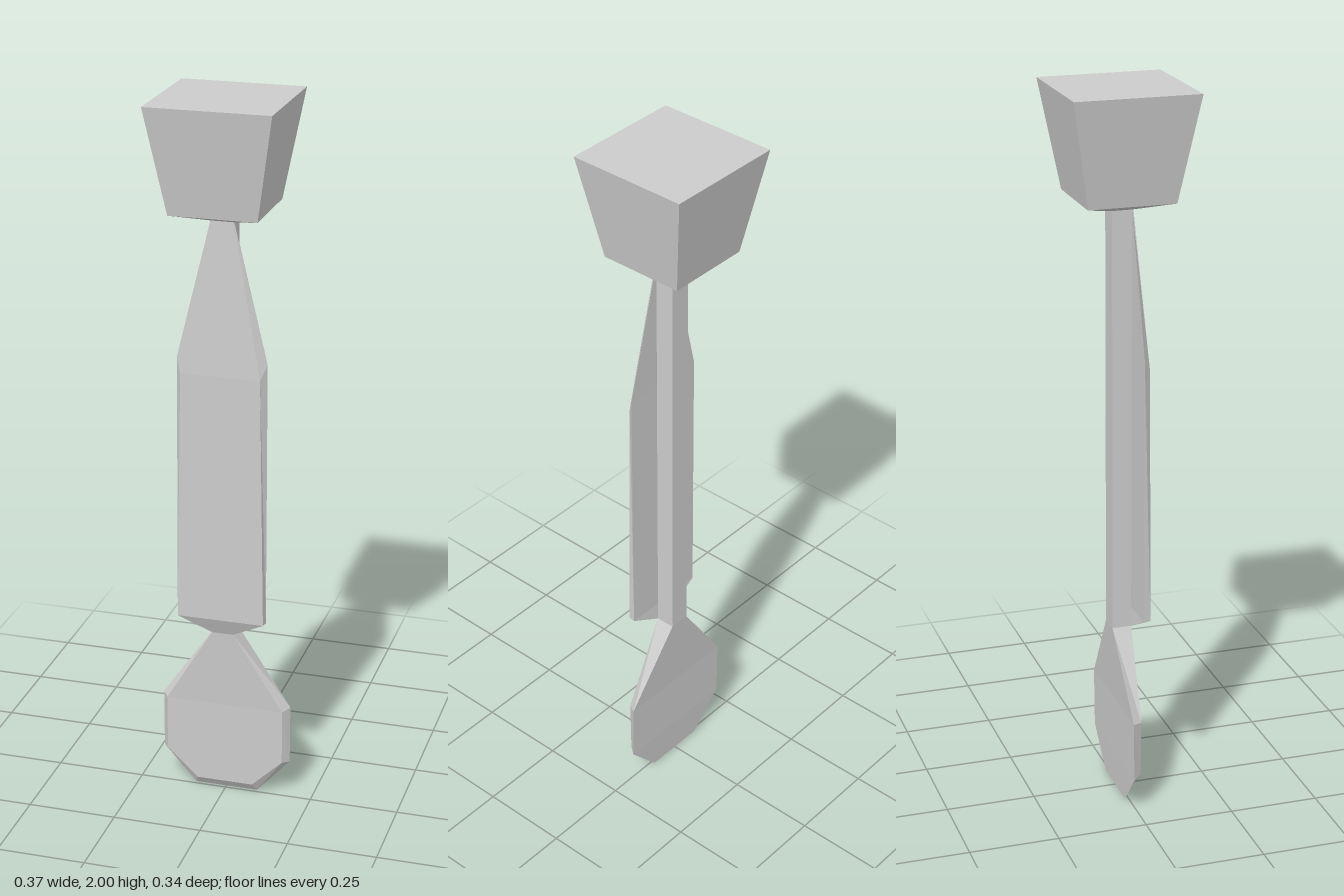
import * as THREE from 'three';

const material = new THREE.MeshStandardMaterial({ color: 0xcccccc, flatShading: true });

function addPart(group, name, geometry, y = 0) {
  const mesh = new THREE.Mesh(geometry, material);
  mesh.name = name;
  mesh.position.y = y;
  group.add(mesh);
}

// Square tapered block; half widths at top and bottom
function taper(top, bottom, height) {
  return new THREE.CylinderGeometry(top * Math.SQRT2, bottom * Math.SQRT2, height, 4, 1)
    .rotateY(Math.PI / 4);
}

// Left-right symmetric slab; rows of [half width, y, z] from top to bottom
function slab(front, back) {
  const pos = [];
  const left = ([x, y, z]) => [x, y, z];
  const right = ([x, y, z]) => [-x, y, z];
  const quad = (a, b, c, d) => pos.push(...a, ...b, ...c, ...a, ...c, ...d);
  for (let i = 0; i < front.length - 1; i++) {
    const f = front[i], g = front[i + 1], b = back[i], c = back[i + 1];
    quad(right(f), right(g), left(g), left(f));
    quad(left(b), left(c), right(c), right(b));
    quad(left(f), left(g), left(c), left(b));
    quad(right(b), right(c), right(g), right(f));
  }
  // End caps
  const n = front.length - 1;
  quad(right(front[0]), left(front[0]), left(back[0]), right(back[0]));
  quad(right(back[n]), left(back[n]), left(front[n]), right(front[n]));
  const geometry = new THREE.BufferGeometry();
  geometry.setAttribute('position', new THREE.Float32BufferAttribute(pos, 3));
  geometry.computeVertexNormals();
  return geometry;
}

export function createModel() {
  const group = new THREE.Group();
  group.name = 'paddle';

  // Flared square head with a shallow tapered underside
  addPart(group, 'head', taper(0.17, 0.12, 0.29), 1.855);
  addPart(group, 'headUnderside', taper(0.12, 0.03, 0.03), 1.695);

  // Square rod running behind the plate
  addPart(group, 'rod', new THREE.BoxGeometry(0.06, 1.19, 0.054), 1.095);

  // Bevelled plate on the front of the rod
  addPart(group, 'frontPlate', slab(
    [[0.03, 1.69, 0.03], [0.11, 1.26, 0.052], [0.122, 0.55, 0.052], [0.03, 0.5, 0.029]],
    [[0.03, 1.69, 0.027], [0.125, 1.3, 0.032], [0.125, 0.55, 0.032], [0.03, 0.5, 0.027]],
  ));

  // Faceted blade thinning towards the tip
  addPart(group, 'blade', slab(
    [[0.03, 0.5, 0.027], [0.168, 0.27, 0.012], [0.168, 0.11, 0.01], [0.08, 0.025, 0.008]],
    [[0.03, 0.5, -0.027], [0.185, 0.275, -0.015], [0.185, 0.105, -0.013], [0.09, 0, -0.01]],
  ));

  return group;
}
